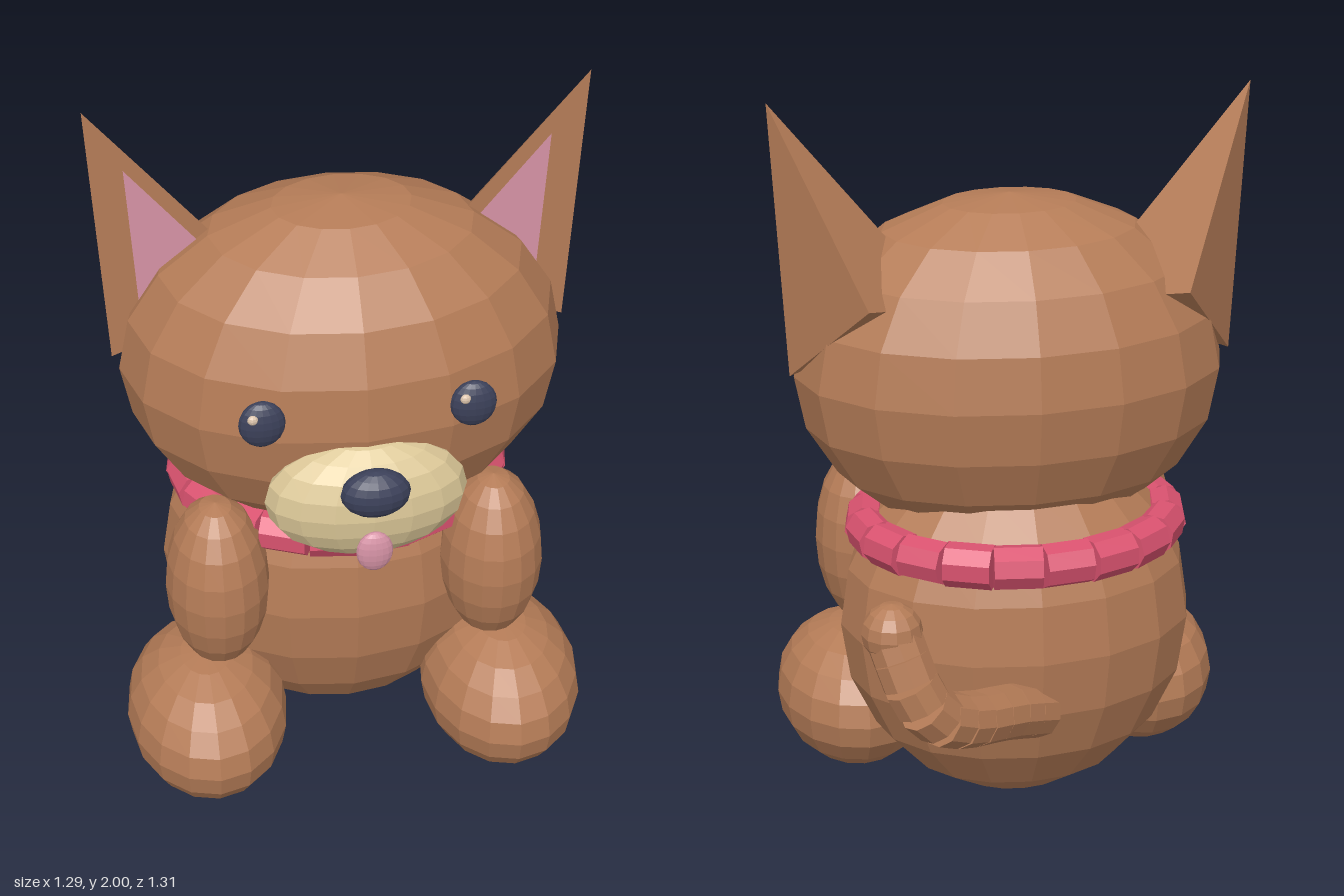
import * as THREE from 'three';

export function createModel() {
  const model = new THREE.Group();
  model.name = 'sittingPuppy';

  const mat = (name, color, extra = {}) => {
    const m = new THREE.MeshStandardMaterial({ color, flatShading: true, ...extra });
    m.name = name;
    return m;
  };
  const brown = mat('brownFur', 0xb57c57);
  const cream = mat('creamMuzzle', 0xdcc898);
  const navy = mat('darkNavy', 0x3c415a);
  const pink = mat('softPink', 0xd693a6, { side: THREE.DoubleSide });
  const red = mat('collarRed', 0xd9526f);
  const shine = mat('eyeShine', 0xe0c8b0);

  const add = (parent, name, geo, material) => {
    const mesh = new THREE.Mesh(geo, material);
    mesh.name = name;
    parent.add(mesh);
    return mesh;
  };

  // Faceted ellipsoid from centre and radii
  const ball = (name, material, [x, y, z], [rx, ry, rz], w = 16, h = 10) => {
    const geo = new THREE.SphereGeometry(1, w, h).scale(rx, ry, rz).translate(x, y, z);
    return add(model, name, geo, material);
  };

  // Straight cylinder links between successive points
  const links = (name, points, radius, sides, material) => {
    const group = new THREE.Group();
    group.name = name;
    const up = new THREE.Vector3(0, 1, 0);
    for (let i = 0; i < points.length - 1; i++) {
      const dir = points[i + 1].clone().sub(points[i]);
      const geo = new THREE.CylinderGeometry(radius, radius, dir.length(), sides);
      const link = add(group, name + 'Link', geo, material);
      link.position.copy(points[i]).addScaledVector(dir, 0.5);
      link.quaternion.setFromUnitVectors(up, dir.normalize());
    }
    model.add(group);
  };

  // Torso, head and face
  ball('body', brown, [0, 0.54, 0], [0.49, 0.525, 0.375]);
  ball('head', brown, [0, 1.24, 0.08], [0.59, 0.48, 0.42]);
  ball('muzzle', cream, [0, 1.055, 0.47], [0.265, 0.175, 0.127]);
  ball('nose', navy, [0, 1.16, 0.605], [0.09, 0.068, 0.052]);
  ball('tongue', pink, [0, 0.965, 0.6], [0.048, 0.062, 0.022]);

  // Ear: four-cornered spike with an upright front face
  const P = [0.645, 2.0, 0.045], A = [0.605, 1.255, 0.045];
  const B = [0.172, 1.42, 0.045], C = [0.425, 1.5, -0.205];
  const triangles = (side, faces) => {
    const pos = [];
    for (const f of faces) {
      const corners = side > 0 ? f : [f[0], f[2], f[1]];
      for (const [x, y, z] of corners) pos.push(side * x, y, z);
    }
    const geo = new THREE.BufferGeometry();
    geo.setAttribute('position', new THREE.Float32BufferAttribute(pos, 3));
    geo.computeVertexNormals();
    return geo;
  };

  // Mirrored parts
  for (const s of [-1, 1]) {
    const label = s > 0 ? 'left' : 'right';
    add(model, label + 'Ear', triangles(s, [[P, B, A], [P, A, C], [P, C, B], [A, B, C]]), brown);
    add(model, label + 'InnerEar', triangles(s, [
      [[0.55, 1.825, 0.05], [0.25, 1.45, 0.05], [0.522, 1.34, 0.05]],
    ]), pink);
    ball(label + 'Eye', navy, [s * 0.27, 1.325, 0.49], [0.06, 0.068, 0.03]);
    ball(label + 'EyeShine', shine, [s * 0.27 - 0.026, 1.357, 0.514], [0.014, 0.014, 0.009], 8, 6);
    ball(label + 'Arm', brown, [s * 0.375, 0.675, 0.307], [0.14, 0.265, 0.16]);
    ball(label + 'Leg', brown, [s * 0.415, 0.21, 0.3], [0.222, 0.21, 0.302]);
  }

  // Collar: ring of short links
  const ring = [];
  for (let i = 0; i <= 20; i++) {
    const a = (i / 20) * Math.PI * 2;
    ring.push(new THREE.Vector3(Math.sin(a) * 0.414, 0.82, Math.cos(a) * 0.352));
  }
  links('collar', ring, 0.06, 8, red);

  // Tail: curled chain with a round tip
  const tail = new THREE.CatmullRomCurve3([
    [0, 0.38, -0.31], [0.11, 0.43, -0.405], [0.22, 0.465, -0.495], [0.315, 0.51, -0.56],
    [0.372, 0.58, -0.578], [0.402, 0.66, -0.56], [0.43, 0.75, -0.53],
  ].map((p) => new THREE.Vector3(...p)));
  links('tail', tail.getSpacedPoints(10), 0.075, 10, brown);
  ball('tailTip', brown, [0.43, 0.75, -0.53], [0.08, 0.08, 0.08], 12, 8);

  return model;
}
